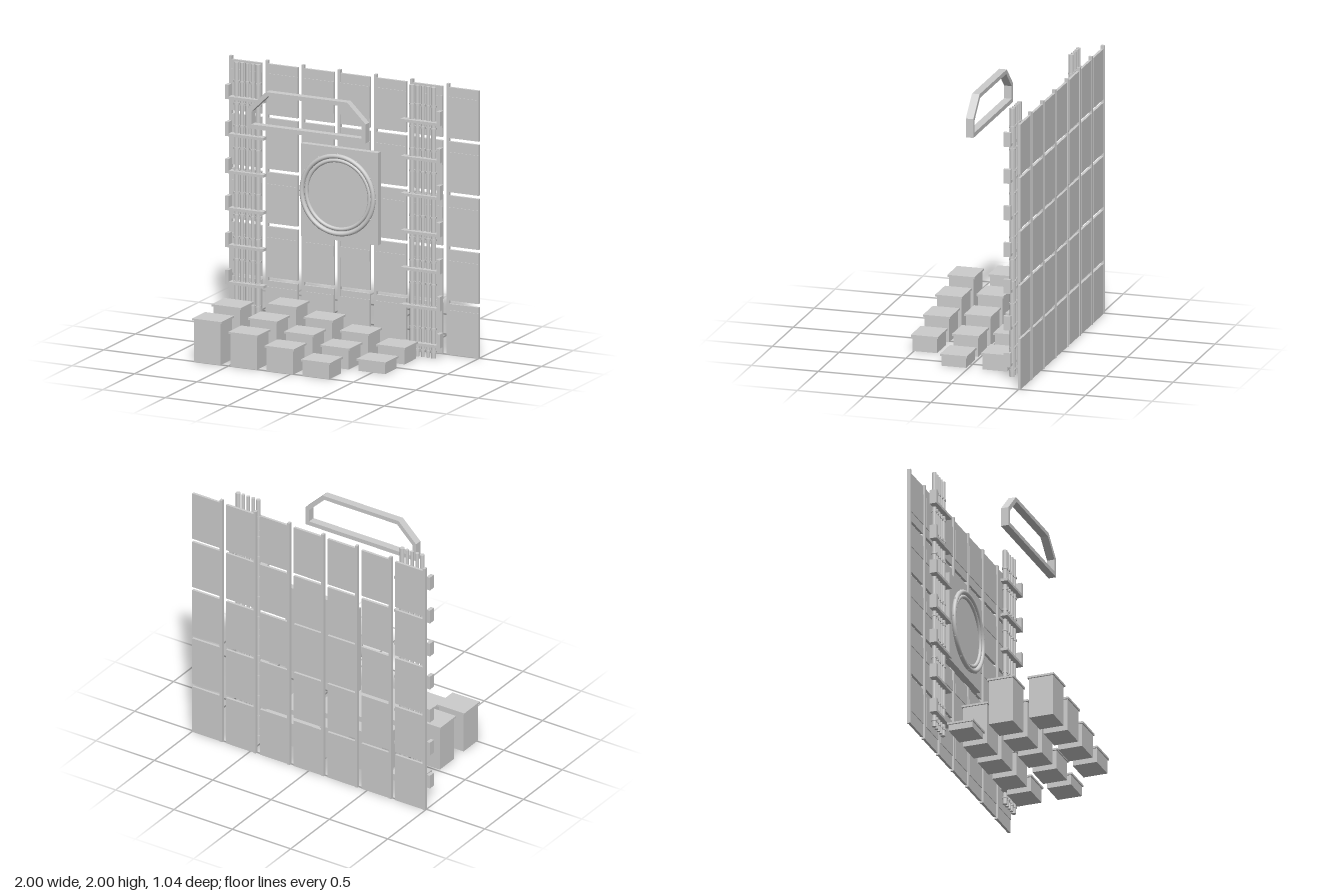
import * as THREE from 'three';

export function createModel() {
  const root = new THREE.Group();
  root.name = 'panelWallWithCrates';
  const grey = new THREE.MeshStandardMaterial({ color: 0xcccccc });
  grey.name = 'lightGrey';

  const group = (name, parent = root) => {
    const g = new THREE.Group();
    g.name = name;
    parent.add(g);
    return g;
  };
  const add = (parent, name, geo, x, y, z) => {
    const m = new THREE.Mesh(geo, grey);
    m.name = name;
    m.position.set(x, y, z);
    parent.add(m);
    return m;
  };
  // Box given by its minimum and maximum corners
  const box = (parent, name, x0, x1, y0, y1, z0, z1) =>
    add(parent, name, new THREE.BoxGeometry(x1 - x0, y1 - y0, z1 - z0),
      (x0 + x1) / 2, (y0 + y1) / 2, (z0 + z1) / 2);

  // Back wall: seven columns of five panels, each column with a rail on one edge
  const wall = group('wall');
  const bands = [[0.1, 0.33], [0.215, 0.295], [0.2, 0.29], [0.195, 0.297], [0.07, 0.305]];
  for (let c = 0; c < 7; c++) {
    const x = -1 + c * 0.29;
    box(wall, 'wallRail', x, x + 0.02, 0, 2, -0.521, -0.494);
    bands.forEach(([b0, b1], r) => {
      const y = r * 0.4;
      box(wall, 'wallPanel', x + 0.02, x + 0.258, y, y + 0.375, -0.515, -0.496);
      box(wall, 'panelBand', x + 0.02, x + 0.258, y + b0, y + b1, -0.497, -0.491);
    });
  }

  // Two clusters of pipes with collars, held by L-shaped brackets
  const radii = [0.017, 0.014, 0.012, 0.013, 0.018];
  for (const [cx, side] of [[-0.785, -1], [0.62, 1]]) {
    const cluster = group(side < 0 ? 'rightPipes' : 'leftPipes');
    radii.forEach((r, i) => {
      const x = cx + (i - 2) * 0.043;
      add(cluster, 'pipe', new THREE.CylinderGeometry(r, r, 2, 16), x, 1, -0.36);
      for (let k = 0; k < 12; k++) {
        add(cluster, 'pipeCollar', new THREE.CylinderGeometry(r + 0.005, r + 0.005, 0.014, 16),
          x, 0.05 + k * 0.1645, -0.36);
      }
    });
    for (let k = 0; k < 7; k++) {
      const y = 0.088 + k * 0.2735;
      const [a, b] = side < 0 ? [-0.942, -0.635] : [0.465, 0.778];
      box(cluster, 'bracketBar', a, b, y, y + 0.02, -0.368, -0.316);
      const e = side < 0 ? a : b - 0.028;
      box(cluster, 'bracketUpright', e, e + 0.028, y + 0.02, y + 0.105, -0.368, -0.316);
    }
  }

  // Square plate carrying a round dial with two rings
  const cx = -0.085;
  const dial = group('dial');
  box(dial, 'dialPlate', -0.39, 0.225, 0.757, 1.44, -0.476, -0.428);
  const disc = add(dial, 'dialDisc', new THREE.CylinderGeometry(0.26, 0.26, 0.014, 64), cx, 1.1, -0.421);
  disc.rotation.x = Math.PI / 2;
  add(dial, 'outerRing', new THREE.TorusGeometry(0.286, 0.017, 12, 72), cx, 1.1, -0.402);
  add(dial, 'innerRing', new THREE.TorusGeometry(0.253, 0.014, 12, 72), cx, 1.1, -0.41);
  for (let k = 0; k < 12; k++) {
    const a = (k * Math.PI) / 6;
    add(dial, 'ringStud', new THREE.SphereGeometry(0.007, 8, 6),
      cx + 0.301 * Math.cos(a), 1.1 + 0.301 * Math.sin(a), -0.402);
  }

  // Hanging open frame with cut upper corners
  const outline = (hw, top, y0, ym, y1) =>
    [[-hw, y0], [hw, y0], [hw, ym], [top, y1], [-top, y1], [-hw, ym]]
      .map(([x, y]) => new THREE.Vector2(x, y));
  const frame = new THREE.Shape(outline(0.474, 0.325, 1.652, 1.792, 1.936));
  frame.holes.push(new THREE.Path(outline(0.442, 0.311, 1.684, 1.778, 1.905).reverse()));
  add(root, 'hangingFrame',
    new THREE.ExtrudeGeometry(frame, { depth: 0.057, bevelEnabled: false }), cx, 0, 0.03);

  // Rows of lidded crates stepping down in height
  const rows = [
    [-0.198, [0.06, 0.322, 0.257, 0.192, 0.125]],
    [0.11, [0.354, 0.288, 0.222, 0.157, 0.09]],
    [0.418, [0.322, 0.257, 0.19, 0.123]],
  ];
  const crates = group('crates');
  for (const [z, heights] of rows) {
    heights.forEach((h, i) => {
      const x = -0.665 + i * 0.29;
      const crate = group('crate', crates);
      box(crate, 'crateBody', x - 0.106, x + 0.106, 0, h - 0.015, z - 0.092, z + 0.092);
      box(crate, 'crateLid', x - 0.117, x + 0.117, h - 0.015, h, z - 0.101, z + 0.101);
    });
  }
  return root;
}
